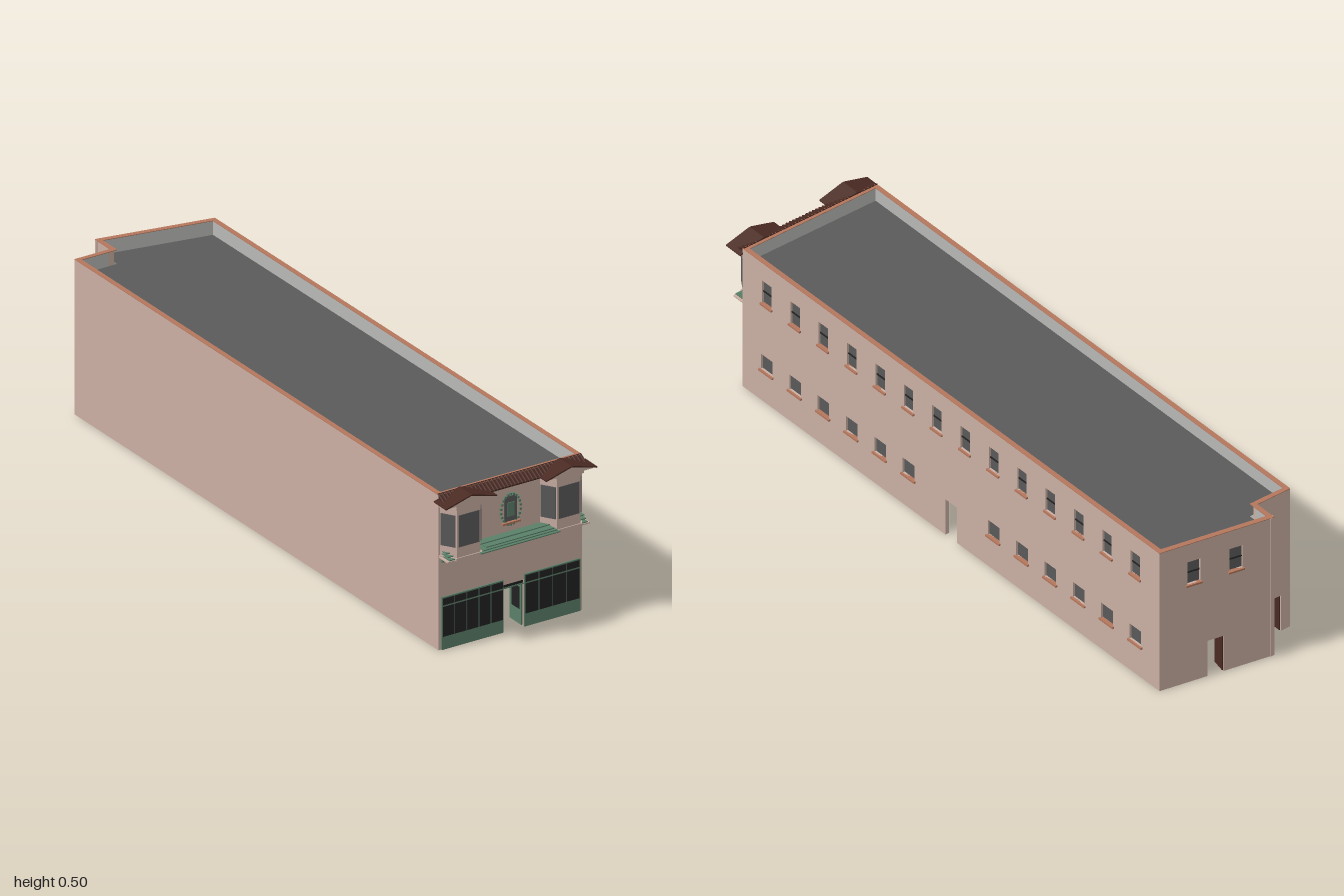
import * as THREE from 'three';

const mat = (name, color, side = THREE.FrontSide) => {
  const m = new THREE.MeshStandardMaterial({ color, side });
  m.name = name;
  return m;
};

export function createModel() {
  const root = new THREE.Group();
  root.name = 'commercialBuilding';
  const stucco = mat('pinkStucco', 0xcbafa3);
  const plaster = mat('greyInterior', 0xb8b8b6, THREE.DoubleSide);
  const slate = mat('greyGlassAndRoof', 0x5a5a5a, THREE.DoubleSide);
  const brick = mat('terracotta', 0xb5775c);
  const tile = mat('brownTile', 0x4a2a22);
  const green = mat('greenPaint', 0x5a8069);
  const black = mat('blackGlass', 0x222222);

  const H = 0.49, T = 0.014, ROOF = 0.445;

  const add = (parent, name, geo, material) => {
    const m = new THREE.Mesh(geo, material);
    m.name = name;
    parent.add(m);
    return m;
  };
  // box from its min and max corners
  const box = (parent, name, material, x0, x1, y0, y1, z0, z1) => {
    const m = add(parent, name, new THREE.BoxGeometry(x1 - x0, y1 - y0, z1 - z0), material);
    m.position.set((x0 + x1) / 2, (y0 + y1) / 2, (z0 + z1) / 2);
    return m;
  };
  const planShape = (pts) => new THREE.Shape(pts.map(([x, z]) => new THREE.Vector2(x, -z)));
  // vertical prism over a plan outline given as [x, z]
  const prism = (parent, name, material, pts, y0, y1) => {
    const g = new THREE.ExtrudeGeometry(planShape(pts), { depth: y1 - y0, bevelEnabled: false });
    g.rotateX(-Math.PI / 2).translate(0, y0, 0);
    return add(parent, name, g, material);
  };
  const rect = (x0, x1, y0, y1) => [[x0, y0], [x1, y0], [x1, y1], [x0, y1]].map(p => new THREE.Vector2(...p));

  // wall between two plan points; openings are {kind, u, w, y0, y1}
  const wall = (name, a, b, openings = []) => {
    const dx = b[0] - a[0], dz = b[1] - a[1], len = Math.hypot(dx, dz);
    const g = new THREE.Group();
    g.name = name;
    g.position.set(a[0], 0, a[1]);
    g.rotation.y = Math.atan2(-dz, dx);
    root.add(g);
    const face = (inset) => {
      const doors = openings.filter(o => o.kind === 'door').sort((p, q) => p.u - q.u);
      const pts = [[inset, 0]];
      for (const d of doors) {
        const l = d.u - d.w / 2, r = d.u + d.w / 2;
        pts.push([l, 0], [l, d.y1], [r, d.y1], [r, 0]);
      }
      pts.push([len - inset, 0], [len - inset, H - 0.002], [inset, H - 0.002]);
      const s = new THREE.Shape(pts.map(p => new THREE.Vector2(...p)));
      for (const o of openings) if (o.kind === 'window')
        s.holes.push(new THREE.Path(rect(o.u - o.w / 2, o.u + o.w / 2, o.y0, o.y1).reverse()));
      return s;
    };
    const outer = new THREE.ExtrudeGeometry(face(0), { depth: T, bevelEnabled: false });
    add(g, 'stuccoWall', outer.translate(0, 0, -T), stucco);
    add(g, 'innerLining', new THREE.ShapeGeometry(face(T)).translate(0, 0, -T - 0.001), plaster);
    for (const o of openings) {
      const l = o.u - o.w / 2, r = o.u + o.w / 2;
      if (o.kind === 'window') {
        box(g, 'windowGlass', slate, l, r, o.y0, o.y1, -0.012, -0.007);
        const mid = (o.y0 + o.y1) / 2;
        if (o.y1 - o.y0 > 0.06) box(g, 'sashRail', black, l, r, mid - 0.002, mid + 0.002, -0.007, -0.004);
        box(g, 'windowSill', brick, l - 0.005, r + 0.005, o.y0 - 0.006, o.y0, -0.007, 0.006);
      } else if (!o.front) {
        // leaf standing open inwards
        box(g, 'openDoorLeaf', tile, r - 0.004, r, 0.002, o.y1 - 0.003, -0.05, -0.003);
      }
    }
    return g;
  };

  const P = [[-0.243, 0.94], [0.245, 0.94], [0.222, -0.928], [-0.14, -0.998], [-0.14, -0.92], [-0.26, -0.92]];
  const upper = (u) => ({ kind: 'window', u, w: 0.042, y0: 0.347, y1: 0.426 });
  const lower = (u) => ({ kind: 'window', u, w: 0.052, y0: 0.11, y1: 0.163 });
  const door = (u, w = 0.052) => ({ kind: 'door', u, w, y0: 0, y1: 0.125 });

  const sideOpenings = [door(0.935)];
  for (let i = 0; i < 14; i++) {
    const u = 0.109 + i * 0.127;
    sideOpenings.push(upper(u));
    if (i !== 6 && i !== 7) sideOpenings.push(lower(u));
  }
  wall('frontWall', P[0], P[1], [{ kind: 'door', front: true, u: 0.253, w: 0.07, y0: 0, y1: 0.147 }]);
  wall('leftSideWall', P[1], P[2], sideOpenings);
  wall('backWall', P[2], P[3], [upper(0.11), upper(0.245), door(0.18)]);
  wall('notchSideWall', P[3], P[4], [door(0.038, 0.04)]);
  wall('notchBackWall', P[4], P[5], [door(0.06)]);
  wall('rightSideWall', P[5], P[0]);

  // parapet coping and flat roof
  const inner = [[-0.228, 0.925], [0.23, 0.925], [0.207, -0.915], [-0.125, -0.979], [-0.125, -0.905], [-0.245, -0.905]];
  const ring = planShape(P);
  ring.holes.push(new THREE.Path(planShape(inner).getPoints()));
  add(root, 'parapetCoping', new THREE.ExtrudeGeometry(ring, { depth: 0.002, bevelEnabled: false })
    .rotateX(-Math.PI / 2).translate(0, H - 0.002, 0), brick);
  add(root, 'flatRoof', new THREE.ShapeGeometry(planShape(inner)).rotateX(-Math.PI / 2).translate(0, ROOF, 0), slate);

  // shopfronts: green frame with black panes and transoms
  const shop = (x0, x1, n) => {
    const g = new THREE.Group();
    g.name = 'shopfront';
    root.add(g);
    box(g, 'shopFrame', green, x0, x1, 0, 0.165, 0.935, 0.944);
    const step = (x1 - x0 - 0.003) / n;
    for (let i = 0; i < n; i++) {
      const l = x0 + 0.003 + i * step, r = l + step - 0.003;
      box(g, 'shopPane', black, l, r, 0.041, 0.135, 0.943, 0.945);
      box(g, 'transomPane', black, l, r, 0.14, 0.161, 0.943, 0.945);
    }
  };
  shop(-0.234, -0.025, 5);
  shop(0.047, 0.236, 4);
  box(root, 'entranceTransom', black, -0.025, 0.045, 0.137, 0.147, 0.93, 0.938);
  box(root, 'entranceHeader', green, -0.025, 0.045, 0.134, 0.137, 0.928, 0.94);
  box(root, 'entranceDoor', green, 0.041, 0.045, 0.003, 0.134, 0.875, 0.935);
  box(root, 'entranceDoorGlass', black, 0.040, 0.041, 0.05, 0.12, 0.885, 0.925);

  // green fascia and balcony boards
  box(root, 'fasciaBand', green, -0.235, 0.235, 0.277, 0.289, 0.938, 0.948);
  box(root, 'balconyBase', stucco, -0.242, 0.242, 0.291, 0.295, 0.938, 0.985);
  [[0.235, 0.296, 0.984], [0.235, 0.303, 0.976], [0.235, 0.31, 0.966]].forEach(([w, y, z]) =>
    box(root, 'balconyBoard', green, -w, w, y, y + 0.003, 0.938, z));
  [[0.135, 0.296, 0.996], [0.125, 0.303, 0.994], [0.115, 0.31, 0.992]].forEach(([w, y, z]) =>
    box(root, 'balconyRail', green, -w, w, y, y + 0.003, z - 0.02, z));

  // tiled eave along the front
  const eave = new THREE.Shape([[0.935, 0.492], [0.935, 0.468], [0.97, 0.468], [0.97, 0.472]]
    .map(([z, y]) => new THREE.Vector2(-z, y)));
  add(root, 'tiledEave', new THREE.ExtrudeGeometry(eave, { depth: 0.486, bevelEnabled: false })
    .rotateY(Math.PI / 2).translate(-0.243, 0, 0), tile);
  for (let i = 0; i < 41; i++) {
    const rib = add(root, 'roofTile', new THREE.CylinderGeometry(0.0035, 0.0035, 0.041, 6), tile);
    rib.position.set(-0.24 + i * 0.012, 0.481, 0.953);
    rib.rotation.x = Math.atan2(0.036, -0.02);
  }

  // bay windows with gabled roofs
  for (const s of [-1, 1]) {
    const bay = new THREE.Group();
    bay.name = 'bayWindow';
    bay.position.x = s * 0.17;
    root.add(bay);
    const plan = (e) => [[-0.07 - e, 0.938], [-0.04 - e, 0.985 + e], [0.04 + e, 0.985 + e], [0.07 + e, 0.938]];
    prism(bay, 'bayBody', stucco, plan(0), 0.3, 0.468);
    prism(bay, 'bayBase', stucco, plan(0.003), 0.291, 0.3);
    prism(bay, 'bayLowerCornice', stucco, plan(0.003), 0.45, 0.459);
    prism(bay, 'bayUpperCornice', stucco, plan(0.007), 0.459, 0.468);
    box(bay, 'bayFrontGlass', slate, -0.035, 0.035, 0.333, 0.433, 0.983, 0.987);
    for (const k of [-1, 1]) {
      const glass = add(bay, 'baySideGlass', new THREE.BoxGeometry(0.046, 0.1, 0.005), slate);
      glass.position.set(k * 0.055, 0.383, 0.9625);
      glass.rotation.y = k * Math.atan2(0.047, 0.03);
      const slope = add(bay, 'gableRoof', new THREE.BoxGeometry(0.09, 0.004, 0.064), tile);
      slope.position.set(k * 0.0435, 0.482, 0.968);
      slope.rotation.z = -k * Math.atan2(0.024, 0.087);
    }
    const tri = new THREE.Shape([[-0.076, 0.468], [0.076, 0.468], [0.076, 0.471], [0, 0.492], [-0.076, 0.471]]
      .map(p => new THREE.Vector2(...p)));
    add(bay, 'gablePediment', new THREE.ExtrudeGeometry(tri, { depth: 0.057, bevelEnabled: false })
      .translate(0, 0, 0.938), stucco);
  }

  // central window ringed by small green blocks
  box(root, 'centreGlass', slate, -0.021, 0.021, 0.346, 0.424, 0.938, 0.943);
  box(root, 'centrePanel', green, -0.011, 0.011, 0.361, 0.405, 0.942, 0.945);
  box(root, 'centreSill', brick, -0.03, 0.03, 0.339, 0.345, 0.938, 0.95);
  for (let i = 0; i < 22; i++) {
    const a = i / 22 * Math.PI * 2, x = 0.033 * Math.sin(a), y = 0.383 + 0.048 * Math.cos(a);
    box(root, 'surroundBlock', green, x - 0.0033, x + 0.0033, y - 0.0033, y + 0.0033, 0.938, 0.946);
  }
  return root;
}
